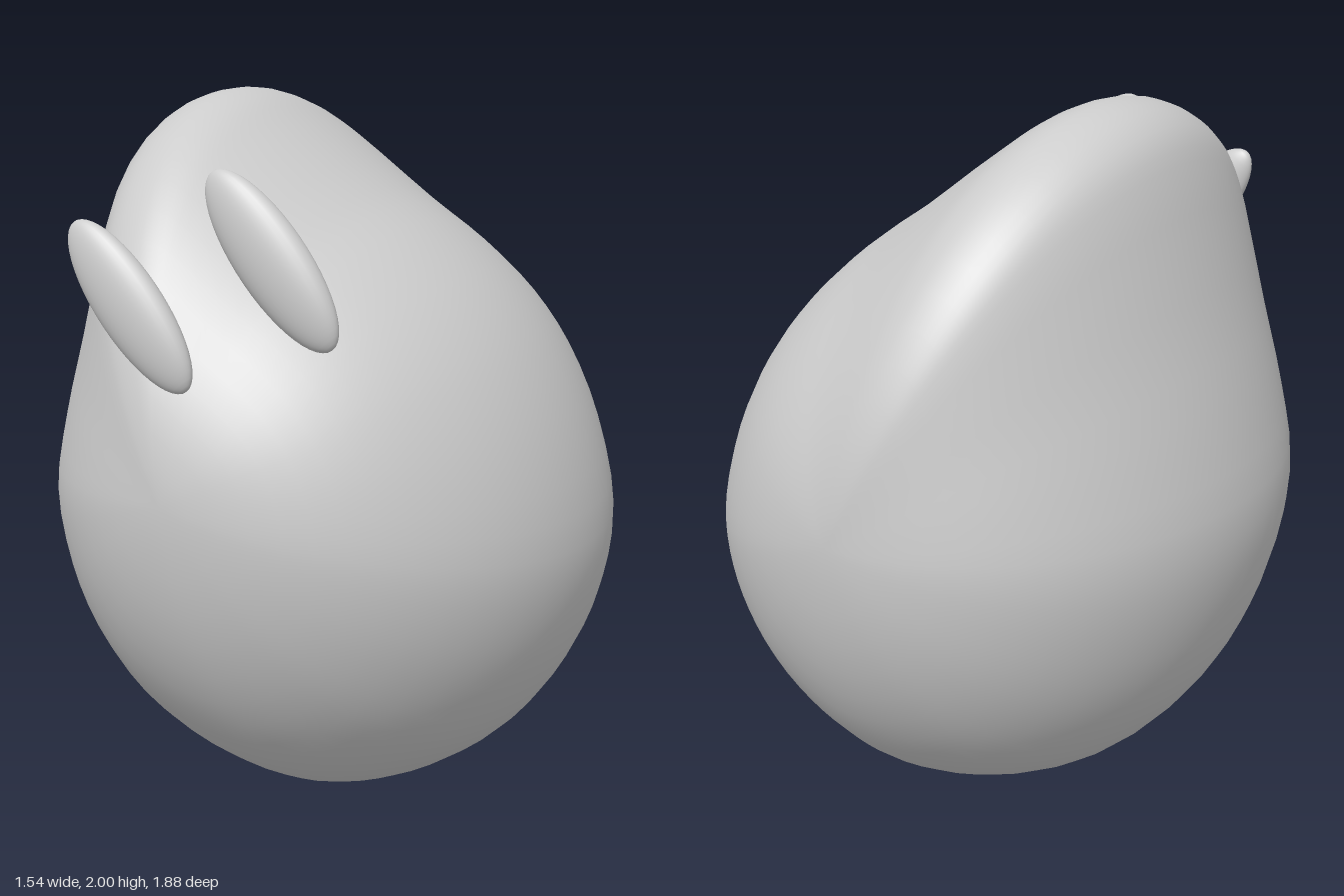
import * as THREE from 'three';
import { mergeVertices } from 'three/addons/utils/BufferGeometryUtils.js';

// Leaning teardrop cross-section (x, y), counter-clockwise seen from the front
const SECTION = [
  [-0.77, 0.9], [-0.715, 0.6], [-0.6, 0.36], [-0.415, 0.16], [-0.18, 0.04],
  [0.045, 0], [0.2, 0.025], [0.37, 0.1], [0.54, 0.23], [0.67, 0.41], [0.745, 0.6],
  [0.768, 0.8], [0.71, 1.06], [0.6, 1.295], [0.47, 1.465], [0.31, 1.605],
  [0.125, 1.73], [-0.15, 1.93], [-0.235, 1.98], [-0.32, 2], [-0.42, 1.975],
  [-0.49, 1.915], [-0.535, 1.815], [-0.575, 1.68], [-0.64, 1.445], [-0.72, 1.17],
];
const CENTER = new THREE.Vector3(-0.05, 1, -0.04);
const HALF_DEPTH = 0.9;

// Sphere with poles at front and back, whose rings follow the teardrop section
function bodyGeometry() {
  const curve = new THREE.CatmullRomCurve3(
    SECTION.map(([x, y]) => new THREE.Vector3(x, y, CENTER.z)), true, 'centripetal');
  const geo = new THREE.SphereGeometry(1, 78, 32);
  const { position, uv } = geo.attributes;
  const p = new THREE.Vector3();
  for (let i = 0; i < position.count; i++) {
    const polar = Math.acos(THREE.MathUtils.clamp(position.getY(i), -1, 1));
    curve.getPoint(THREE.MathUtils.clamp(uv.getX(i), 0, 1), p);
    p.sub(CENTER).multiplyScalar(Math.sin(polar)).add(CENTER);
    position.setXYZ(i, p.x, p.y, CENTER.z + HALF_DEPTH * Math.cos(polar));
  }
  geo.deleteAttribute('uv');
  geo.deleteAttribute('normal');
  const merged = mergeVertices(geo);
  merged.computeVertexNormals();
  return merged;
}

export function createModel() {
  const group = new THREE.Group();
  const grey = new THREE.MeshStandardMaterial({ color: 0xcccccc });
  grey.name = 'grey';

  const body = new THREE.Mesh(bodyGeometry(), grey);
  body.name = 'body';
  group.add(body);

  // Two slanted flat oval eyes hovering in front of the body
  const eyeGeo = new THREE.SphereGeometry(1, 32, 24);
  for (const [name, x, y] of [['rightEye', -0.098, 1.505], ['leftEye', 0.297, 1.638]]) {
    const eye = new THREE.Mesh(eyeGeo, grey);
    eye.name = name;
    eye.scale.set(0.092, 0.25, 0.048);
    eye.rotation.z = THREE.MathUtils.degToRad(39);
    eye.position.set(x, y, 0.89);
    group.add(eye);
  }
  return group;
}
